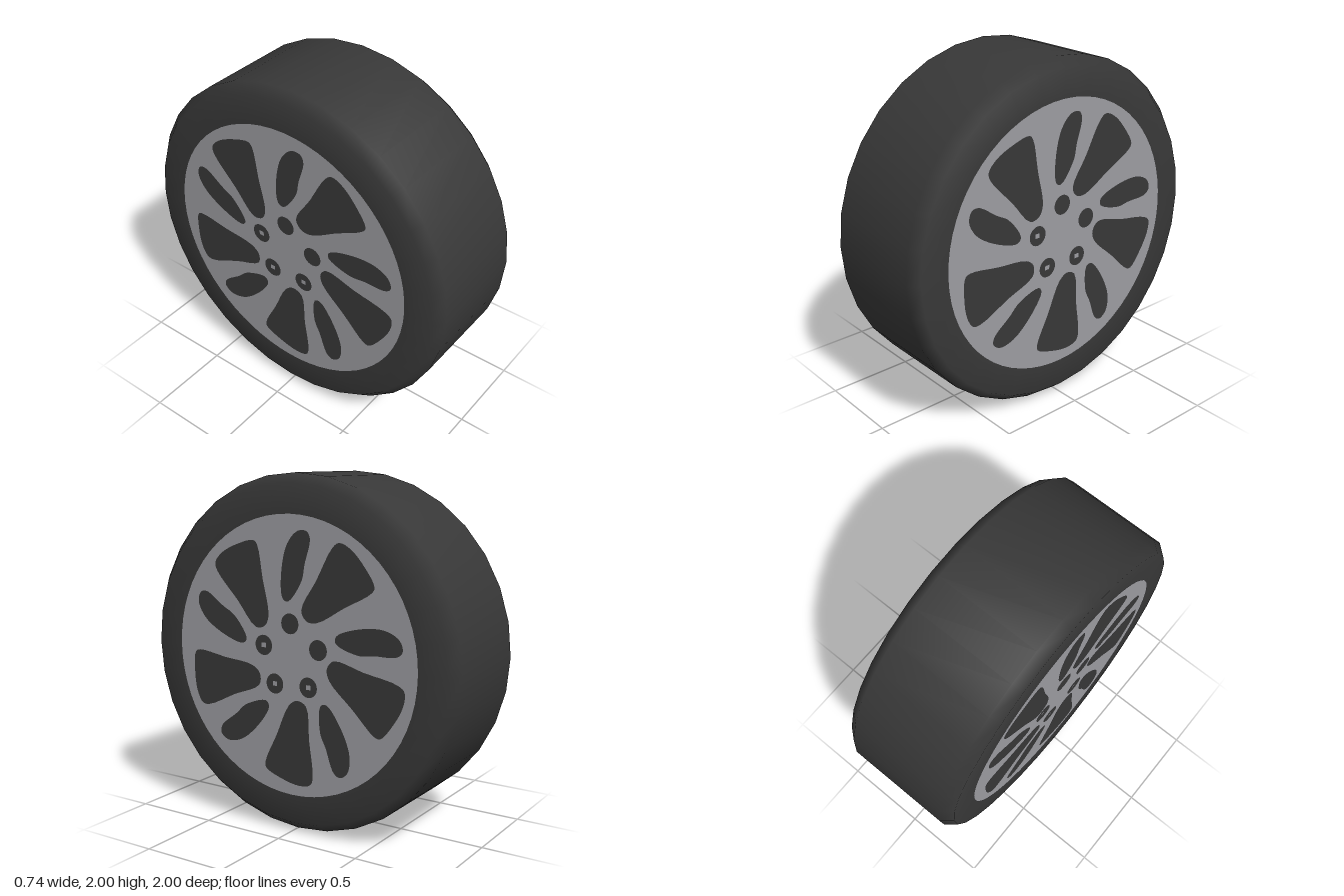
import * as THREE from 'three';

const TYRE_HALF = 0.366;
const STEP = (Math.PI * 2) / 5;

// Outlines of one opening of each kind, relative to the wheel centre
const WIDE = [[0.04, -0.235], [0.10, -0.26], [0.12, -0.45], [0.143, -0.66], [0.125, -0.705],
  [0.05, -0.722], [-0.07, -0.70], [-0.175, -0.655], [-0.18, -0.62], [-0.10, -0.45], [-0.015, -0.27]];
const SLIM = [[-0.05, 0.325], [-0.015, 0.312], [0.075, 0.43], [0.095, 0.52], [0.13, 0.655],
  [0.11, 0.695], [0.05, 0.695], [-0.02, 0.62], [-0.06, 0.45]];

function turn(points, angle) {
  const c = Math.cos(angle), s = Math.sin(angle);
  return points.map(([x, y]) => new THREE.Vector3(x * c - y * s, x * s + y * c, 0));
}

function opening(outline, angle) {
  const curve = new THREE.CatmullRomCurve3(turn(outline, angle), true);
  const pts = curve.getPoints(44).slice(0, -1);
  return new THREE.Path(pts.map((p) => new THREE.Vector2(p.x, p.y)));
}

export function createModel() {
  const rubber = new THREE.MeshStandardMaterial({ color: 0x383838 });
  rubber.name = 'dark rubber';
  const alloy = new THREE.MeshStandardMaterial({ color: 0x9c9ca1 });
  alloy.name = 'grey alloy';

  const group = new THREE.Group();
  group.name = 'wheel';

  // Tyre: chamfered drum turned around the x axis, with closed flat sides
  const half = [[0, TYRE_HALF], [0.78, TYRE_HALF], [0.95, TYRE_HALF], [1, 0.305]];
  const profile = [
    ...half.map(([r, w]) => new THREE.Vector2(r, -w)),
    ...half.slice().reverse().map(([r, w]) => new THREE.Vector2(r, w)),
  ];
  const tyreGeo = new THREE.LatheGeometry(profile, 32);
  tyreGeo.rotateZ(-Math.PI / 2);
  const tyre = new THREE.Mesh(tyreGeo, rubber);
  tyre.name = 'tyre';
  group.add(tyre);

  // Rim face: flat disc pierced by wide and slim openings and lug holes
  const face = new THREE.Shape();
  face.absarc(0, 0, 0.784, 0, Math.PI * 2, false);
  const lugs = [];
  for (let i = 0; i < 5; i++) {
    face.holes.push(opening(WIDE, i * STEP), opening(SLIM, i * STEP));
    const [lug] = turn([[-0.004, 0.19]], i * STEP);
    const hole = new THREE.Path();
    hole.absarc(lug.x, lug.y, 0.057, 0, Math.PI * 2, true);
    face.holes.push(hole);
    lugs.push(lug);
  }
  const rimGeo = new THREE.ShapeGeometry(face, 32);
  const glintGeo = new THREE.PlaneGeometry(0.03, 0.026);

  // The same face on both sides, turned half round for the second
  for (const [name, angle] of [['left', Math.PI / 2], ['right', -Math.PI / 2]]) {
    const side = new THREE.Group();
    side.name = name + 'Face';
    const rim = new THREE.Mesh(rimGeo, alloy);
    rim.name = name + 'Rim';
    rim.position.z = TYRE_HALF + 0.003;
    side.add(rim);
    // Small bolt heads in the lower lug holes
    for (const i of [1, 2, 3]) {
      const bolt = new THREE.Mesh(glintGeo, alloy);
      bolt.name = name + 'Bolt' + i;
      bolt.position.set(lugs[i].x, lugs[i].y, TYRE_HALF + 0.002);
      side.add(bolt);
    }
    side.rotation.y = angle;
    group.add(side);
  }

  group.position.y = 1;
  const model = new THREE.Group();
  model.name = 'wheelModel';
  model.add(group);
  return model;
}
